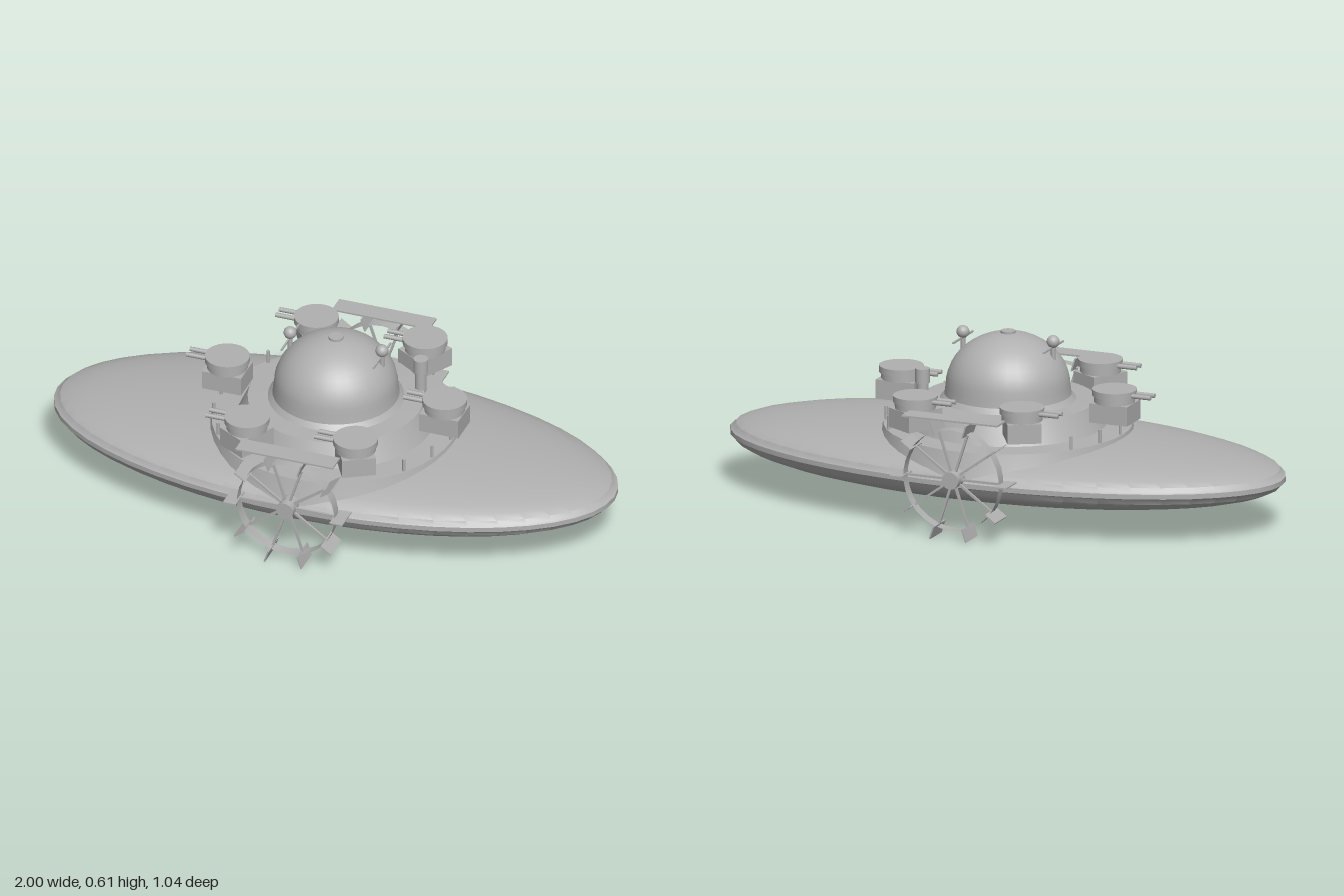
import * as THREE from 'three';
import { toCreasedNormals } from 'three/addons/utils/BufferGeometryUtils.js';

export function createModel() {
  const root = new THREE.Group();
  root.name = 'saucerShip';
  const grey = new THREE.MeshStandardMaterial({ color: 0xb0b0b0 });
  grey.name = 'hull grey';
  grey.side = THREE.DoubleSide;

  const add = (parent, name, geo, x = 0, y = 0, z = 0) => {
    const m = new THREE.Mesh(geo, grey);
    m.name = name;
    m.position.set(x, y, z);
    parent.add(m);
    return m;
  };
  const group = (parent, name, x, y, z) => {
    const g = new THREE.Group();
    g.name = name;
    g.position.set(x, y, z);
    parent.add(g);
    return g;
  };
  const lathe = (pts, seg) => toCreasedNormals(
    new THREE.LatheGeometry(pts.map(p => new THREE.Vector2(p[0], p[1])), seg), 0.5);
  const box = (w, h, d) => new THREE.BoxGeometry(w, h, d);
  const cyl = (r1, r2, h, s = 16) => new THREE.CylinderGeometry(r1, r2, h, s);

  // Elliptical hull: curved belly, thin rim band, shallow top
  const hull = [];
  const N = 10;
  for (let i = 0; i <= N; i++) {
    const a = i / N * Math.PI / 2;
    hull.push([0.99 * Math.sin(a), 0.165 - 0.105 * Math.cos(a)]);
  }
  hull.push([1, 0.17], [1, 0.187]);
  for (let i = N; i >= 0; i--) {
    const a = i / N * Math.PI / 2;
    hull.push([0.99 * Math.sin(a), 0.192 + 0.093 * Math.cos(a)]);
  }
  const hullGeo = new THREE.LatheGeometry(hull.map(p => new THREE.Vector2(p[0], p[1])), 48);
  hullGeo.scale(1, 1, 0.45);
  add(root, 'hull', toCreasedNormals(hullGeo, 0.5));

  // Stepped round deck
  add(root, 'deck', lathe([[0.445, 0.2], [0.435, 0.23], [0.42, 0.287], [0.335, 0.29],
    [0.298, 0.37], [0.23, 0.372], [0.215, 0.39]], 40));

  // Dome with a small cap
  const dome = [[0.23, 0.37], [0.215, 0.385]];
  for (let i = 0; i <= 12; i++) {
    const a = i / 12 * Math.PI / 2;
    dome.push([0.21 * Math.cos(a), 0.42 + 0.18 * Math.sin(a)]);
  }
  add(root, 'dome', lathe(dome, 32));
  add(root, 'domeCap', cyl(0.025, 0.025, 0.014), 0, 0.6, 0);

  // Six gun turrets on radial pedestals, all aimed the same way
  for (let i = 0; i < 6; i++) {
    const a = i * Math.PI / 3;
    const t = group(root, 'turret', 0.39 * Math.cos(a), 0, 0.39 * Math.sin(a));
    const base = add(t, 'turretBase', box(0.14, 0.067, 0.115), 0, 0.367, 0);
    base.rotation.y = -a;
    add(t, 'turretCollar', cyl(0.069, 0.069, 0.025, 24), 0, 0.412, 0);
    add(t, 'turretHead', cyl(0.076, 0.076, 0.022, 24), 0, 0.434, 0);
    for (const s of [-1, 1]) {
      const gun = add(t, 'gunBarrel', cyl(0.008, 0.008, 0.08, 8), -0.1, 0.43, s * 0.018);
      gun.rotation.z = Math.PI / 2;
    }
  }

  // Short posts around the deck edge
  for (const a of [0, 18, -18, 162, 180, 198, 36, -36, 144, 216]) {
    const r = a * Math.PI / 180;
    add(root, 'deckPost', cyl(0.006, 0.006, 0.05, 8), 0.412 * Math.cos(r), 0.308, 0.412 * Math.sin(r));
  }

  // Ball-topped antennas with cross rods
  for (const s of [-1, 1]) {
    const an = group(root, 'antenna', s * 0.165, 0, 0);
    add(an, 'antennaPole', cyl(0.008, 0.008, 0.08, 10), 0, 0.54, 0);
    add(an, 'antennaBall', new THREE.SphereGeometry(0.022, 16, 12), 0, 0.585, 0);
    add(an, 'antennaRod', box(0.006, 0.006, 0.17), 0, 0.565, 0);
  }

  // Periscope stack behind the dome
  add(root, 'periscopeTube', cyl(0.02, 0.02, 0.1), 0.25, 0.4, -0.147);
  add(root, 'periscopeHead', cyl(0.025, 0.025, 0.05), 0.25, 0.46, -0.147);

  // Paddle wheels at front and back
  for (const s of [-1, 1]) {
    const w = group(root, 'paddleWheel', 0, 0.205, s * 0.47);
    const rim = add(w, 'wheelRim',
      new THREE.CylinderGeometry(0.175, 0.175, 0.04, 30, 1, true));
    rim.rotation.x = Math.PI / 2;
    const hub = add(w, 'wheelHub', cyl(0.03, 0.03, 0.06, 20));
    hub.rotation.x = Math.PI / 2;
    const axle = add(w, 'wheelAxle', cyl(0.015, 0.015, 0.1, 12), 0, 0, -s * 0.05);
    axle.rotation.x = Math.PI / 2;
    for (let i = 0; i < 10; i++) {
      const arm = group(w, 'wheelArm', 0, 0, 0);
      arm.rotation.z = i * Math.PI / 5;
      add(arm, 'spoke', box(0.17, 0.008, 0.008), 0.09, 0, 0);
      add(arm, 'paddle', box(0.046, 0.005, 0.1), 0.191, 0, 0);
    }
    // Flat guard plate over the wheel
    add(w, 'wheelGuard', box(0.35, 0.006, 0.07), 0, 0.21, 0);
  }
  return root;
}
